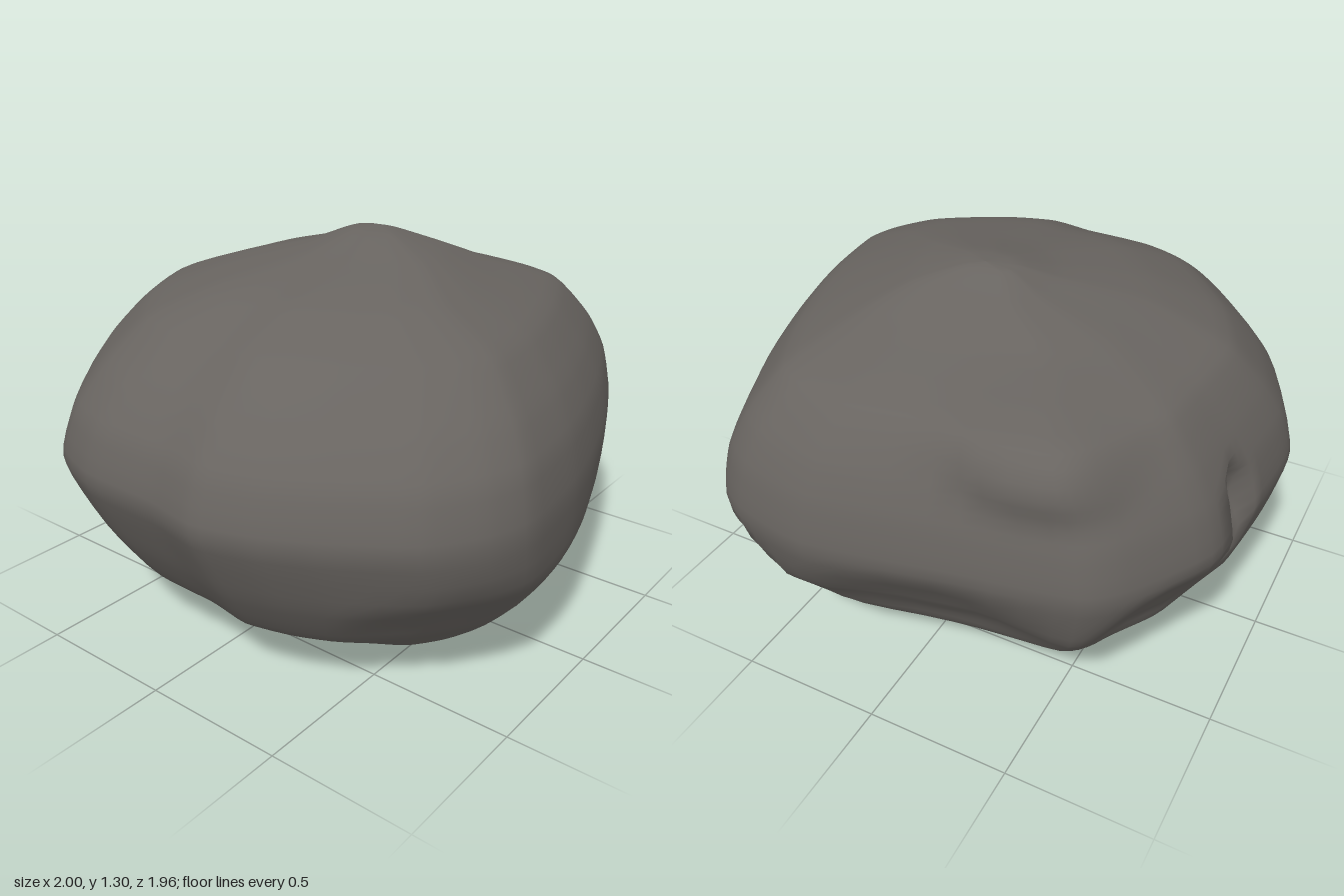
import * as THREE from 'three';

// Widest outline of the boulder, as [x, z]
const OUTLINE = [
  [1, 0.2], [0.95, 0.48], [0.85, 0.62], [0.5, 0.78], [0.2, 0.88], [-0.05, 0.94],
  [-0.36, 0.97], [-0.53, 0.92], [-0.7, 0.8], [-0.86, 0.56], [-0.95, 0.38], [-1, 0.2],
  [-0.97, 0], [-0.96, -0.3], [-0.87, -0.53], [-0.53, -0.83], [-0.2, -0.98], [0, -0.98],
  [0.2, -0.96], [0.47, -0.93], [0.73, -0.77], [0.83, -0.65], [0.9, -0.3],
];

// Extents at each height: [y, min x, max x, min z, max z]
const LEVELS = [
  [0, 0, 0, 0.04, 0.04],
  [0, -0.42, 0.41, -0.38, 0.46],
  [0.03, -0.5, 0.49, -0.47, 0.58],
  [0.1, -0.6, 0.63, -0.62, 0.7],
  [0.22, -0.78, 0.78, -0.79, 0.85],
  [0.4, -0.9, 0.93, -0.92, 0.96],
  [0.63, -1, 1, -0.98, 0.98],
  [0.8, -0.95, 0.97, -0.94, 0.94],
  [0.93, -0.84, 0.91, -0.87, 0.86],
  [1.07, -0.66, 0.79, -0.75, 0.72],
  [1.17, -0.43, 0.5, -0.48, 0.5],
  [1.24, -0.12, 0.33, -0.22, 0.3],
  [1.29, 0.08, 0.22, -0.1, 0.1],
  [1.3, 0.18, 0.18, 0, 0],
];

// Local dents and bumps: centre, radii and push
const DENTS = [
  { at: [0.8, 0.36, 0.62], size: [0.27, 0.25, 0.27], push: [-0.11, 0.01, -0.11] }, // corner notch
  { at: [0.25, 0.69, -0.96], size: [0.09, 0.2, 0.2], push: [0, 0, 0.1] }, // back crack
  { at: [0.5, 0.38, -0.8], size: [0.35, 0.27, 0.35], push: [-0.04, 0, 0.06] }, // hollow below the crack
  { at: [0.8, 0.36, -0.1], size: [0.4, 0.28, 0.55], push: [-0.07, 0, 0] }, // undercut side
  { at: [-0.45, 0.28, 0.75], size: [0.4, 0.25, 0.4], push: [0.02, 0, -0.05] }, // front undercut
  { at: [0.68, 1.05, -0.45], size: [0.3, 0.25, 0.4], push: [0.08, 0.01, -0.01] }, // upper shoulder
];

function applyDents(p) {
  const moved = p.clone();
  for (const { at, size, push } of DENTS) {
    const d = Math.hypot((p.x - at[0]) / size[0], (p.y - at[1]) / size[1], (p.z - at[2]) / size[2]);
    const k = 1 - THREE.MathUtils.smoothstep(d, 0.25, 1);
    moved.add(new THREE.Vector3(...push).multiplyScalar(k));
  }
  return moved;
}

function boulderGeometry(around = 92, perLevel = 4) {
  const curve = (points, closed) => new THREE.CatmullRomCurve3(points, closed, 'catmullrom', 0.3);
  const outline = curve(OUTLINE.map(([x, z]) => new THREE.Vector3(x, 0, z)), true);
  const low = curve(LEVELS.map(([y, x0, , z0]) => new THREE.Vector3(x0, y, z0)), false);
  const high = curve(LEVELS.map(([y, , x1, , z1]) => new THREE.Vector3(x1, y, z1)), false);
  const rows = (LEVELS.length - 1) * perLevel;
  const positions = [];
  const indices = [];
  for (let i = 0; i <= rows; i++) {
    const a = low.getPoint(i / rows);
    const b = high.getPoint(i / rows);
    for (let j = 0; j < around; j++) {
      const o = outline.getPoint(j / around);
      const p = applyDents(new THREE.Vector3(
        THREE.MathUtils.lerp(a.x, b.x, (o.x + 1) / 2),
        Math.max(0, a.y),
        THREE.MathUtils.lerp(a.z, b.z, (o.z + 0.98) / 1.96),
      ));
      positions.push(p.x, p.y, p.z);
      if (i === rows) continue;
      const s = i * around + j;
      const t = i * around + ((j + 1) % around);
      indices.push(s, s + around, t, s + around, t + around, t);
    }
  }
  const geometry = new THREE.BufferGeometry();
  geometry.setAttribute('position', new THREE.Float32BufferAttribute(positions, 3));
  geometry.setIndex(indices);
  geometry.computeVertexNormals();
  return geometry;
}

export function createModel() {
  const stone = new THREE.MeshStandardMaterial({ color: 0x686460 });
  stone.name = 'darkStone';
  const boulder = new THREE.Mesh(boulderGeometry(), stone);
  boulder.name = 'boulder';
  const group = new THREE.Group();
  group.name = 'rock';
  group.add(boulder);
  return group;
}
